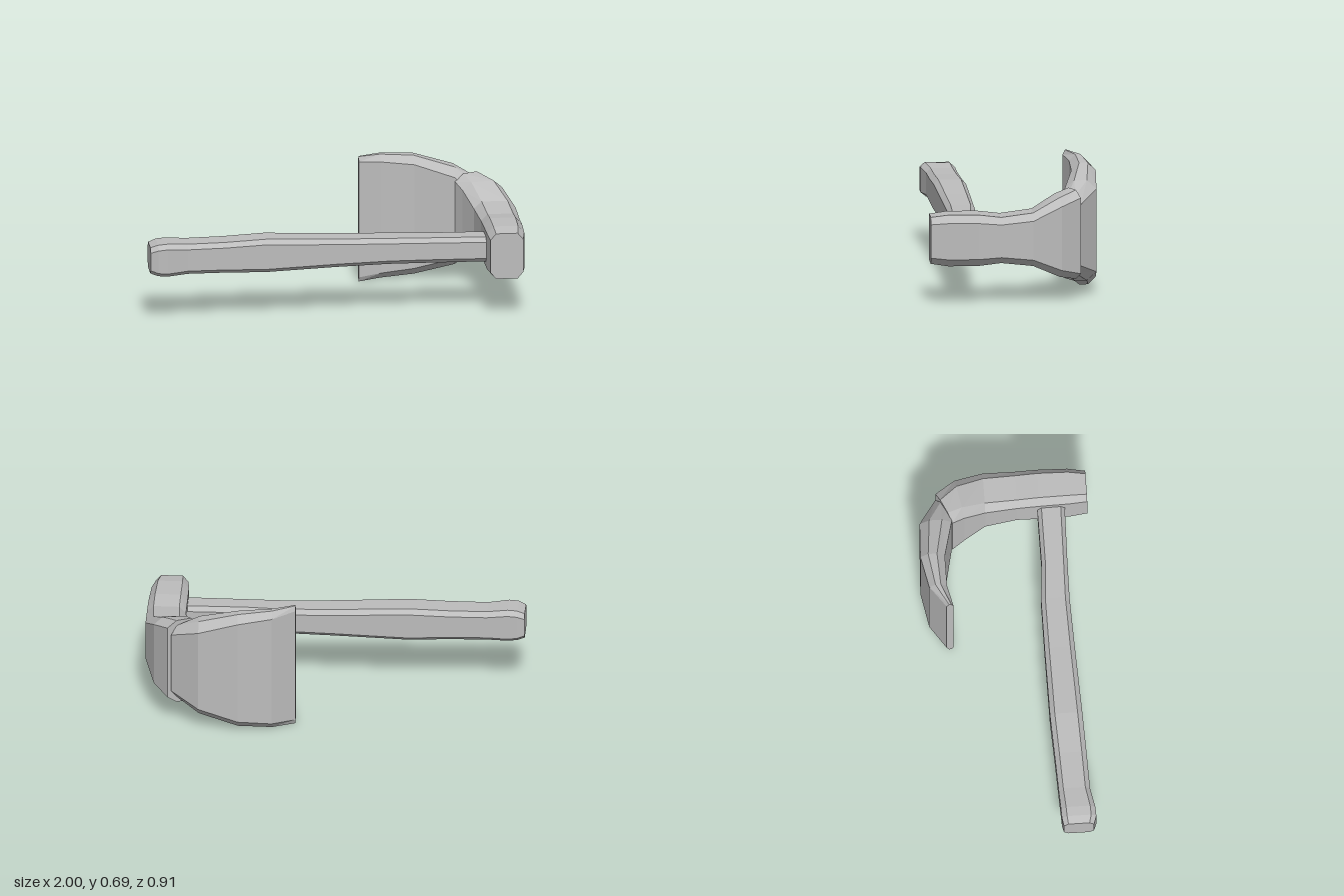
import * as THREE from 'three';

const steel = new THREE.MeshStandardMaterial({ color: 0xbcbcbc });
steel.name = 'plain grey';

const MID = 0.348; // height of the symmetry plane of head and blade

// Eight-sided section: a to b is the thickness direction in plan [x, z], f the
// chamfer fraction; y = [bottom, lower bevel, upper bevel, top].
function section(a, b, f, y) {
  const p = (t, h) => new THREE.Vector3(a[0] + (b[0] - a[0]) * t, h, a[1] + (b[1] - a[1]) * t);
  return [p(f, y[0]), p(1 - f, y[0]), p(1, y[1]), p(1, y[2]),
    p(1 - f, y[3]), p(f, y[3]), p(0, y[2]), p(0, y[1])];
}

// Flat-faced closed skin through a list of sections
function loft(name, rings) {
  const tris = [];
  const n = rings[0].length;
  for (let i = 0; i < rings.length - 1; i++) {
    for (let j = 0; j < n; j++) {
      const k = (j + 1) % n, A = rings[i], B = rings[i + 1];
      tris.push([A[j], A[k], B[k]], [A[j], B[k], B[j]]);
    }
  }
  const first = rings[0], last = rings[rings.length - 1];
  for (let j = 1; j < n - 1; j++) {
    tris.push([first[0], first[j + 1], first[j]], [last[0], last[j], last[j + 1]]);
  }
  // Turn the skin outward if the sections ran the other way round
  const centre = new THREE.Vector3();
  rings.flat().forEach((v) => centre.addScaledVector(v, 1 / (n * rings.length)));
  let volume = 0;
  for (const [a, b, c] of tris) {
    const [p, q, r] = [a, b, c].map((v) => v.clone().sub(centre));
    volume += p.dot(q.cross(r));
  }
  if (volume < 0) tris.forEach((t) => t.reverse());
  const geometry = new THREE.BufferGeometry().setFromPoints(tris.flat());
  geometry.computeVertexNormals();
  const mesh = new THREE.Mesh(geometry, steel);
  mesh.name = name;
  return mesh;
}

export function createModel() {
  const model = new THREE.Group();
  model.name = 'adze';

  // Handle: x, back z, front z, bottom y, top y
  const handle = [
    [-1.0, 0.21, 0.37, 0.278, 0.42],
    [-0.96, 0.202, 0.385, 0.265, 0.436],
    [-0.91, 0.2, 0.383, 0.26, 0.44],
    [-0.8, 0.195, 0.362, 0.267, 0.431],
    [-0.6, 0.187, 0.357, 0.266, 0.433],
    [-0.38, 0.177, 0.35, 0.26, 0.442],
    [0.0, 0.174, 0.335, 0.273, 0.427],
    [0.28, 0.174, 0.326, 0.279, 0.42],
    [0.48, 0.19, 0.328, 0.28, 0.418],
    [0.85, 0.188, 0.336, 0.28, 0.415],
  ];
  model.add(loft('handle', handle.map(([x, z0, z1, y0, y1]) =>
    section([x, z0], [x, z1], 0.15, [y0, y0 + 0.022, y1 - 0.024, y1]))));

  // Head: inner x, z, outer x, z, chamfer fraction, bevel half height, half height
  const head = [
    [0.805, 0.455, 0.98, 0.455, 0.17, 0.09, 0.125],
    [0.796, 0.36, 0.995, 0.36, 0.17, 0.098, 0.138],
    [0.793, 0.2, 1.0, 0.2, 0.17, 0.097, 0.137],
    [0.792, 0.08, 1.0, 0.08, 0.17, 0.088, 0.123],
    [0.772, -0.09, 0.995, -0.09, 0.19, 0.105, 0.143],
    [0.725, -0.205, 0.94, -0.245, 0.22, 0.172, 0.214],
    [0.69, -0.27, 0.86, -0.35, 0.28, 0.204, 0.24],
  ];
  // Blade: same columns, curving from the head round to the cutting edge
  const blade = [
    [0.745, -0.262, 0.84, -0.352, 0.3, 0.165, 0.21],
    [0.69, -0.275, 0.69, -0.445, 0.3, 0.224, 0.27],
    [0.48, -0.325, 0.48, -0.455, 0.32, 0.287, 0.328],
    [0.3, -0.325, 0.3, -0.42, 0.35, 0.308, 0.342],
    [0.18, -0.298, 0.18, -0.335, 0.35, 0.32, 0.346],
  ];
  const ring = ([x0, z0, x1, z1, f, bevel, half]) =>
    section([x0, z0], [x1, z1], f, [MID - half, MID - bevel, MID + bevel, MID + half]);
  model.add(loft('head', head.map(ring)), loft('blade', blade.map(ring)));

  return model;
}
